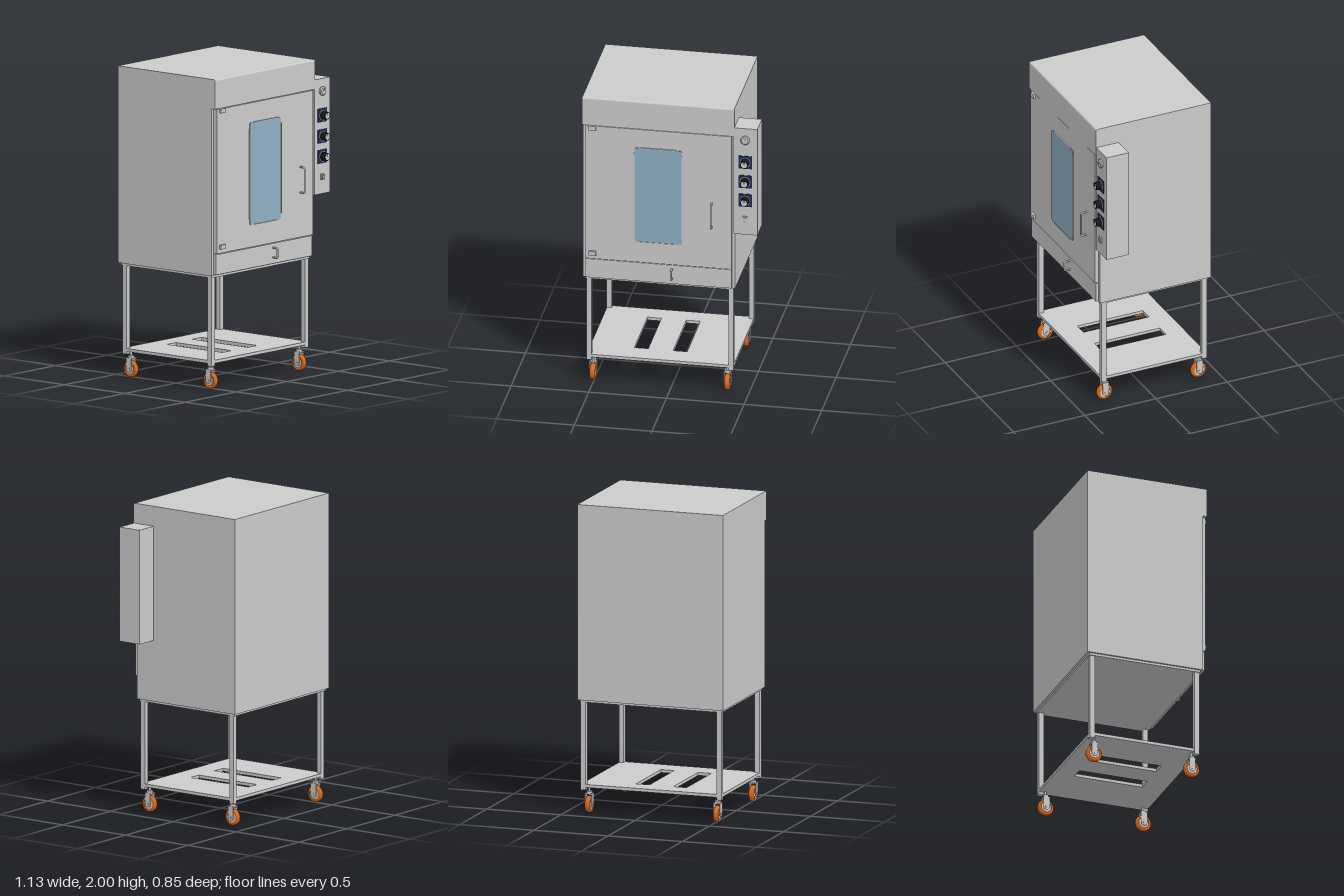
import * as THREE from 'three';

const mat = (color) => new THREE.MeshStandardMaterial({ color });
const grey = mat(0xcccccc), glass = mat(0x8fb0c4), navy = mat(0x1f2a5c), black = mat(0x15181c), orange = mat(0xe0691a);

function add(parent, name, geometry, material = grey) {
  const mesh = new THREE.Mesh(geometry, material);
  mesh.name = name;
  parent.add(mesh);
  return mesh;
}

// box given by its limits on each axis
function box(parent, name, [x0, x1], [y0, y1], [z0, z1], material = grey) {
  const m = add(parent, name, new THREE.BoxGeometry(x1 - x0, y1 - y0, z1 - z0), material);
  m.position.set((x0 + x1) / 2, (y0 + y1) / 2, (z0 + z1) / 2);
  return m;
}

// disc or cone facing the front
function disc(parent, name, r0, r1, z0, z1, material, sides = 32) {
  const g = new THREE.CylinderGeometry(r1, r0, z1 - z0, sides).rotateX(Math.PI / 2);
  const m = add(parent, name, g, material);
  m.position.z = (z0 + z1) / 2;
  return m;
}

// upright pull handle: a bar with bent ends
function handle(parent, name, x, y0, y1, z0, z1, r) {
  const b = 0.012, v = (y, z) => new THREE.Vector3(x, y, z);
  const path = new THREE.CurvePath();
  path.add(new THREE.LineCurve3(v(y0, z0), v(y0, z1 - b)));
  path.add(new THREE.QuadraticBezierCurve3(v(y0, z1 - b), v(y0, z1), v(y0 + b, z1)));
  path.add(new THREE.LineCurve3(v(y0 + b, z1), v(y1 - b, z1)));
  path.add(new THREE.QuadraticBezierCurve3(v(y1 - b, z1), v(y1, z1), v(y1, z1 - b)));
  path.add(new THREE.LineCurve3(v(y1, z1 - b), v(y1, z0)));
  add(parent, name, new THREE.TubeGeometry(path, 80, r, 10));
}

function rectPath(Type, x0, x1, y0, y1, c = 0) {
  return new Type([[x0 + c, y0], [x1 - c, y0], [x1, y0 + c], [x1, y1 - c], [x1 - c, y1], [x0 + c, y1], [x0, y1 - c], [x0, y0 + c]]
    .map(([x, y]) => new THREE.Vector2(x, y)));
}

function makeCaster() {
  const g = new THREE.Group();
  g.name = 'caster';
  const R = 0.054, w = 0.017;
  // rounded tyre turned around the axle
  const tyre = [[0.034, -w], [0.046, -w], [0.052, -0.01], [R, 0], [0.052, 0.01], [0.046, w], [0.034, w], [0.034, -w]]
    .map(([x, y]) => new THREE.Vector2(x, y));
  add(g, 'tyre', new THREE.LatheGeometry(tyre, 32).rotateZ(Math.PI / 2), orange).position.y = R;
  add(g, 'hub', new THREE.CylinderGeometry(0.035, 0.035, 0.028, 24).rotateZ(Math.PI / 2)).position.y = R;
  add(g, 'axle', new THREE.CylinderGeometry(0.008, 0.008, 0.056, 12).rotateZ(Math.PI / 2)).position.y = R;
  for (const s of [-1, 1]) {
    const plate = new THREE.Shape();
    plate.moveTo(-0.021, 0.125).lineTo(-0.021, R).absarc(0, R, 0.021, Math.PI, 2 * Math.PI).lineTo(0.021, 0.125);
    const fork = add(g, 'forkSide', new THREE.ExtrudeGeometry(plate, { depth: 0.004, bevelEnabled: false })
      .rotateY(Math.PI / 2));
    fork.position.x = s * 0.022 - 0.002;
  }
  box(g, 'forkTop', [-0.024, 0.024], [0.118, 0.126], [-0.022, 0.022]);
  add(g, 'swivel', new THREE.CylinderGeometry(0.02, 0.02, 0.014, 20)).position.y = 0.132;
  add(g, 'stem', new THREE.CylinderGeometry(0.008, 0.008, 0.035, 12)).position.y = 0.152;
  return g;
}

export function createModel() {
  const root = new THREE.Group();
  root.name = 'ovenOnStand';

  // cabinet and front hood with a softly rounded top edge
  const X = [-0.565, 0.415];
  box(root, 'cabinet', X, [0.735, 1.82], [-0.427, 0.352]);
  const hood = new THREE.Shape();
  hood.moveTo(0.427, 1.81).lineTo(0.427, 2).lineTo(-0.368, 2)
    .quadraticCurveTo(-0.38, 2, -0.38, 1.988).lineTo(-0.38, 1.81);
  const hoodMesh = add(root, 'hood', new THREE.ExtrudeGeometry(hood, { depth: X[1] - X[0], bevelEnabled: false })
    .rotateY(Math.PI / 2));
  hoodMesh.position.x = X[0];

  // door with a framed window, lower drawer
  const door = new THREE.Group();
  door.name = 'door';
  root.add(door);
  box(door, 'doorPanel', [-0.545, 0.395], [0.878, 1.806], [0.35, 0.378]);
  const pane = add(door, 'windowGlass', new THREE.ExtrudeGeometry(
    rectPath(THREE.Shape, -0.228, 0.078, 1.022, 1.678, 0.008), { depth: 0.008, bevelEnabled: false }), glass);
  pane.position.z = 0.375;
  for (const y of [1.02, 1.676]) box(door, 'windowTrim', [-0.19, 0.04], [y, y + 0.005], [0.375, 0.386]);
  for (const x of [-0.232, 0.076]) box(door, 'windowTrim', [x, x + 0.005], [1.06, 1.64], [0.375, 0.386]);
  for (const y of [0.905, 1.78]) box(door, 'hinge', [-0.52, -0.475], [y, y + 0.028], [0.37, 0.393]);
  handle(door, 'doorHandle', 0.27, 1.166, 1.33, 0.37, 0.416, 0.006);
  box(root, 'drawer', [-0.545, 0.395], [0.742, 0.872], [0.35, 0.371]);
  handle(root, 'drawerHandle', 0.012, 0.782, 0.845, 0.36, 0.41, 0.006);

  // control box on the left side
  const controls = new THREE.Group();
  controls.name = 'controls';
  root.add(controls);
  box(controls, 'controlBox', [0.41, 0.563], [1.13, 1.87], [0.22, 0.378]);
  for (const y of [1.37, 1.5, 1.635]) {
    const dial = new THREE.Group();
    dial.name = 'dial';
    dial.position.set(0.485, y, 0);
    box(dial, 'dialPlate', [-0.044, 0.044], [-0.044, 0.044], [0.375, 0.382], navy);
    disc(dial, 'dialRing', 0.034, 0.034, 0.38, 0.386, grey);
    disc(dial, 'knobSkirt', 0.03, 0.028, 0.385, 0.395, black);
    disc(dial, 'knob', 0.027, 0.025, 0.395, 0.422, black);
    disc(dial, 'knobCap', 0.02, 0.02, 0.42, 0.424, grey);
    box(dial, 'knobMark', [-0.003, 0.003], [0.002, 0.025], [0.42, 0.426], black).rotation.z = 0;
    controls.add(dial);
  }
  const gauge = new THREE.Group();
  gauge.name = 'gauge';
  gauge.position.set(0.485, 1.79, 0);
  disc(gauge, 'gaugeRim', 0.029, 0.029, 0.375, 0.387, grey);
  disc(gauge, 'gaugeFace', 0.029, 0.022, 0.387, 0.393, grey);
  const needle = box(gauge, 'gaugeNeedle', [-0.001, 0.001], [0, 0.016], [0.392, 0.395], black);
  needle.rotation.z = -0.5;
  controls.add(gauge);
  box(controls, 'switchBase', [0.469, 0.5], [1.22, 1.258], [0.375, 0.386]);
  box(controls, 'switchRocker', [0.474, 0.495], [1.226, 1.252], [0.386, 0.394]);

  // stand: top frame, four legs, slotted shelf
  const stand = new THREE.Group();
  stand.name = 'stand';
  root.add(stand);
  box(stand, 'topFrame', [-0.553, 0.403], [0.72, 0.737], [-0.412, 0.342]);
  for (const x of [-0.53, 0.385]) for (const z of [-0.388, 0.318])
    box(stand, 'leg', [x - 0.016, x + 0.016], [0.15, 0.725], [z - 0.017, z + 0.017]);
  const shelf = rectPath(THREE.Shape, -0.545, 0.4, -0.334, 0.404);
  for (const x of [-0.265, -0.015]) shelf.holes.push(rectPath(THREE.Path, x, x + 0.09, -0.185, 0.275));
  const shelfMesh = add(stand, 'shelf', new THREE.ExtrudeGeometry(shelf, { depth: 0.02, bevelEnabled: false })
    .rotateX(-Math.PI / 2));
  shelfMesh.position.y = 0.167;

  // swivel casters
  for (const x of [-0.508, 0.357]) for (const z of [-0.365, 0.295]) {
    const c = makeCaster();
    c.position.set(x, 0, z);
    stand.add(c);
  }
  return root;
}
